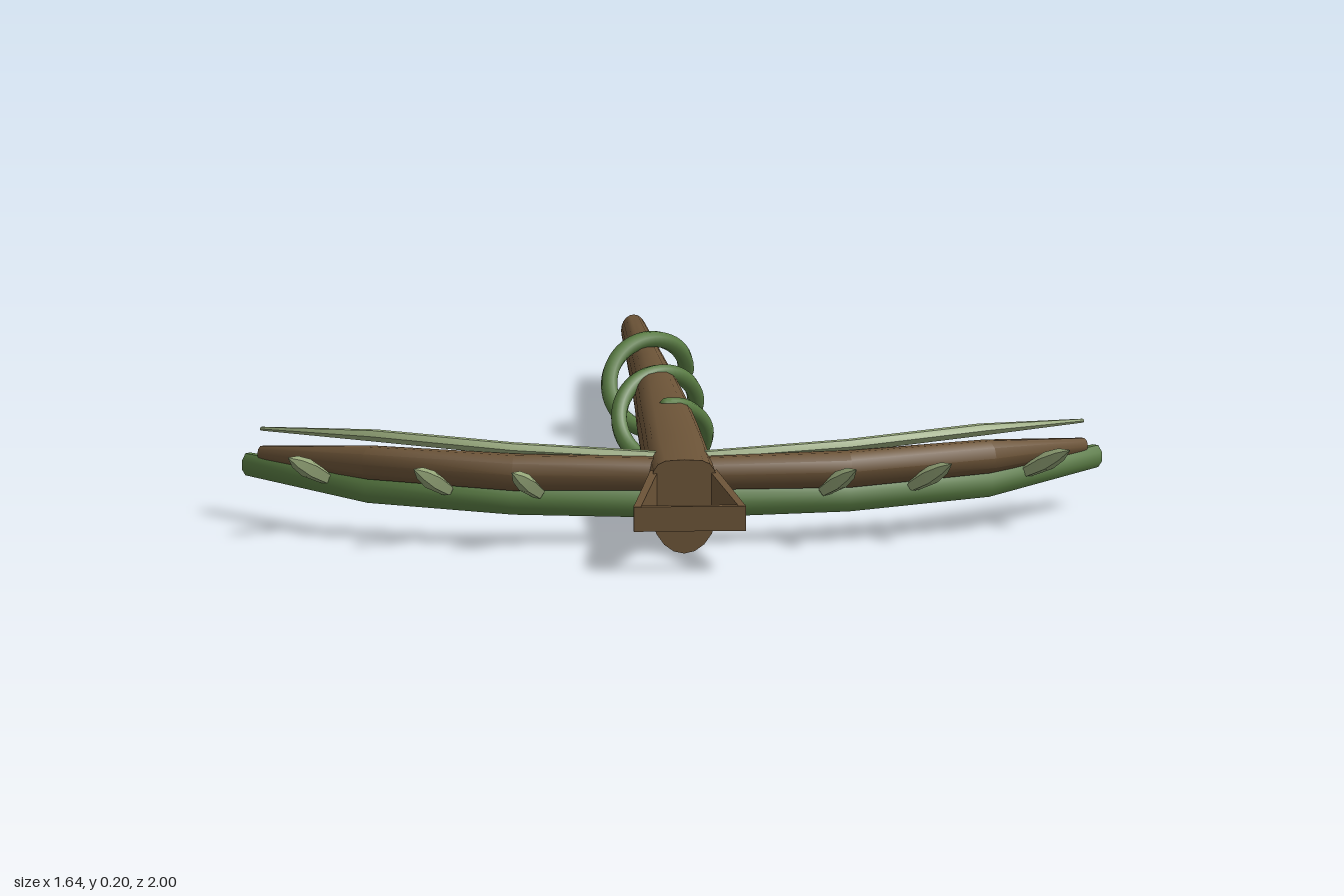
import * as THREE from 'three';
import { toCreasedNormals } from 'three/addons/utils/BufferGeometryUtils.js';

const mat = (name, color) => {
  const m = new THREE.MeshStandardMaterial({ color });
  m.name = name;
  return m;
};

// Sweeps an oval or rounded section along stations [x, y, z, halfWidth, halfHeight, topPower].
function loft(stations, sides, crease, turn = 0) {
  const centres = stations.map((s) => new THREE.Vector3(s[0], s[1], s[2]));
  const up = new THREE.Vector3(0, 1, 0);
  const last = stations.length - 1;
  const rings = stations.map(([, , , w, h, power = 2], i) => {
    const t = centres[Math.min(i + 1, last)].clone().sub(centres[Math.max(i - 1, 0)]);
    t.y = 0;
    const n = up.clone().cross(t.normalize());
    return Array.from({ length: sides }, (_, j) => {
      const a = ((j + turn) / sides) * Math.PI * 2;
      const c = Math.cos(a), s = Math.sin(a);
      const e = 2 / (s > 0.01 ? power : 2);
      return centres[i].clone()
        .addScaledVector(n, Math.sign(c) * Math.abs(c) ** e * w)
        .addScaledVector(up, Math.sign(s) * Math.abs(s) ** e * h);
    });
  });
  const points = [];
  for (let j = 0; j < sides; j++) {
    const k = (j + 1) % sides;
    for (let i = 0; i < last; i++) {
      const a = rings[i][j], b = rings[i][k], c = rings[i + 1][k], d = rings[i + 1][j];
      points.push(a, b, c, a, c, d);
    }
    points.push(centres[0], rings[0][k], rings[0][j]);
    points.push(centres[last], rings[last][j], rings[last][k]);
  }
  return toCreasedNormals(new THREE.BufferGeometry().setFromPoints(points), crease);
}

// Extends a half path (centre outwards to +x) to both sides.
const mirrored = (half) => [
  ...half.slice(1).reverse().map(([x, ...rest]) => [-x, ...rest]),
  ...half,
];

export function createModel() {
  const model = new THREE.Group();
  const wood = mat('brown wood', 0x6b5337);
  const green = mat('vine green', 0x587a42);
  const pale = mat('pale green', 0x94a578);

  const add = (name, geometry, material, parent = model) => {
    const mesh = new THREE.Mesh(geometry, material);
    mesh.name = name;
    parent.add(mesh);
    return mesh;
  };

  // Stock: [z, half width, bottom, top, squareness of the upper half]
  const stock = [
    [0.8, 0.065, 0, 0.182, 4],
    [0.54, 0.062, 0, 0.182, 4],
    [0.35, 0.058, 0.045, 0.182, 3.5],
    [0.1, 0.053, 0.053, 0.182, 3],
    [-0.12, 0.046, 0.063, 0.18, 2.6],
    [-0.4, 0.038, 0.067, 0.168, 2.3],
    [-1, 0.024, 0.07, 0.132, 2],
  ].map(([z, w, lo, hi, p]) => [0, (lo + hi) / 2, z, w, (hi - lo) / 2, p]);
  add('stock', loft(stock, 20, 0.9), wood);

  // Bow limbs: wooden core, green belly below and pale strip on top
  add('bowCore', loft(mirrored([
    [0, 0.135, 0.69, 0.03, 0.032],
    [0.32, 0.142, 0.697, 0.034, 0.036],
    [0.59, 0.145, 0.595, 0.03, 0.033],
    [0.785, 0.125, 0.38, 0.012, 0.015],
  ]), 10, 0.7), wood);
  add('bowBelly', loft(mirrored([
    [0, 0.075, 0.685, 0.018, 0.028],
    [0.32, 0.085, 0.687, 0.02, 0.028],
    [0.59, 0.092, 0.587, 0.02, 0.028],
    [0.81, 0.1, 0.355, 0.018, 0.023],
  ]), 8, 0.8, 0.5), green);
  add('bowTopStrip', loft(mirrored([
    [0, 0.16, 0.665, 0.016, 0.012],
    [0.32, 0.182, 0.668, 0.017, 0.013],
    [0.58, 0.193, 0.572, 0.016, 0.012],
    [0.785, 0.17, 0.365, 0.004, 0.004],
  ]), 6, 0.6), pale);

  // Thorns: slim leaf-shaped spikes along the front of each limb
  const thornProfile = [[0, 0], [0.014, 0.02], [0.019, 0.075], [0.013, 0.115], [0, 0.145]]
    .map(([r, y]) => new THREE.Vector2(r, y));
  const thornGeometry = toCreasedNormals(new THREE.LatheGeometry(thornProfile, 5), 0.4);
  const thornEnds = [
    [[0.265, 0.095, 0.69], [0.33, 0.16, 0.8]],
    [[0.435, 0.095, 0.65], [0.515, 0.16, 0.75]],
    [[0.66, 0.095, 0.51], [0.748, 0.16, 0.618]],
  ];
  for (const side of [1, -1]) {
    const thorns = new THREE.Group();
    thorns.name = side > 0 ? 'leftThorns' : 'rightThorns';
    model.add(thorns);
    for (const [base, tip] of thornEnds) {
      const a = new THREE.Vector3(base[0] * side, base[1], base[2]);
      const d = new THREE.Vector3(tip[0] * side, tip[1], tip[2]).sub(a);
      const thorn = add('thorn', thornGeometry, pale, thorns);
      thorn.position.copy(a);
      thorn.scale.y = d.length() / 0.145;
      thorn.quaternion.setFromUnitVectors(new THREE.Vector3(0, 1, 0), d.normalize());
    }
  }

  // Vine coiling round the rear of the stock
  const coil = Array.from({ length: 46 }, (_, i) => {
    const z = 0.195 - (i / 45) * 0.79;
    const a = ((0.195 - z) / 0.35) * Math.PI * 2;
    return new THREE.Vector3(0.078 * Math.sin(a), 0.102 + 0.073 * Math.cos(a), z);
  });
  const vine = new THREE.Group();
  vine.name = 'vine';
  model.add(vine);
  add('vineStem', new THREE.TubeGeometry(new THREE.CatmullRomCurve3(coil), 120, 0.016, 8), green, vine);
  for (const p of [coil[0], coil[45]]) {
    add('vineTip', new THREE.SphereGeometry(0.016, 8, 6), green, vine).position.copy(p);
  }

  // Stirrup: two side bars narrowing in height towards a cross bar
  const stirrup = new THREE.Group();
  stirrup.name = 'stirrup';
  model.add(stirrup);
  for (const side of [1, -1]) {
    add('stirrupSide', loft([
      [0.056 * side, 0.105, 0.78, 0.011, 0.075],
      [0.1 * side, 0.104, 0.995, 0.01, 0.034],
    ], 4, 0.1, 0.5), wood, stirrup);
  }
  add('stirrupBar', new THREE.BoxGeometry(0.214, 0.048, 0.016), wood, stirrup)
    .position.set(0, 0.104, 0.992);

  return model;
}
